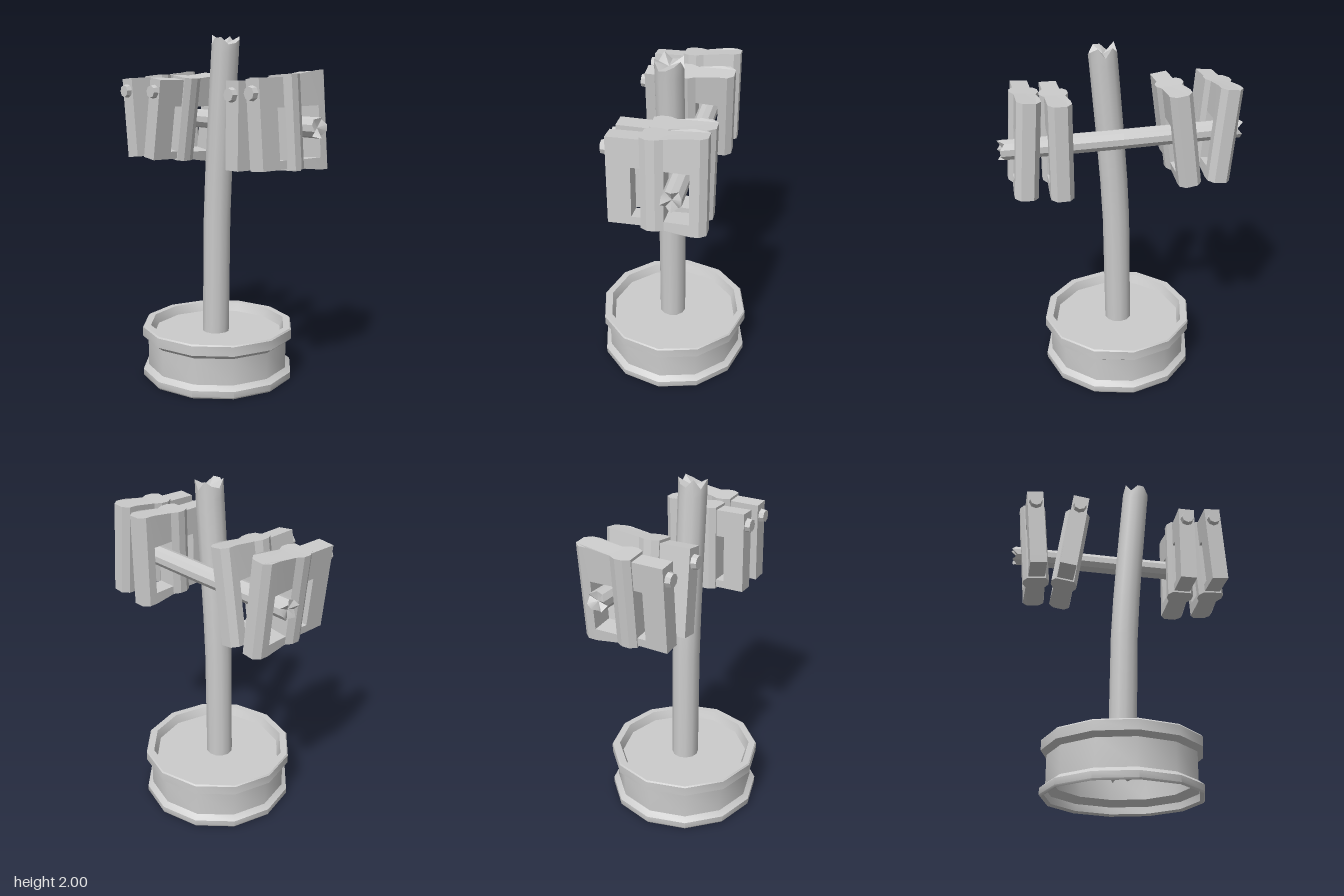
import * as THREE from 'three';
import { toCreasedNormals } from 'three/addons/utils/BufferGeometryUtils.js';

const material = new THREE.MeshStandardMaterial({ color: 0xcccccc });

function add(parent, name, geometry, crease = 0.6) {
  const mesh = new THREE.Mesh(toCreasedNormals(geometry, crease), material);
  mesh.name = name;
  parent.add(mesh);
  return mesh;
}

// Rod with ragged ends, built from rings along y. Path entries are [x, y, z].
function rodGeometry(path, radius, sides, ragged) {
  const pos = [], index = [], last = path.length - 1;
  path.forEach(([x, y, z], k) => {
    for (let i = 0; i < sides; i++) {
      const a = (i / sides) * Math.PI * 2;
      const inset = k === 0 || k === last ? ragged * (0.5 + 0.5 * Math.sin(i * 2.4 + k + 1)) : 0;
      pos.push(x + radius * Math.sin(a), y + (k === 0 ? inset : -inset), z + radius * Math.cos(a));
    }
  });
  for (let k = 0; k < last; k++) {
    for (let i = 0; i < sides; i++) {
      const a = k * sides + i, b = k * sides + ((i + 1) % sides);
      index.push(a, b, b + sides, a, b + sides, a + sides);
    }
  }
  // Sunken fan at each end
  for (const k of [0, last]) {
    const [x, y, z] = path[k], centre = pos.length / 3;
    pos.push(x, y + (k === 0 ? 1 : -1) * ragged * 0.9, z);
    for (let i = 0; i < sides; i++) {
      const a = k * sides + i, b = k * sides + ((i + 1) % sides);
      if (k === 0) index.push(centre, b, a);
      else index.push(centre, a, b);
    }
  }
  const g = new THREE.BufferGeometry();
  g.setAttribute('position', new THREE.Float32BufferAttribute(pos, 3));
  g.setIndex(index);
  return g;
}

// Vertical prism from half a plan outline [x, half thickness], mirrored in z
function prism(half, y0, y1) {
  const outline = [...half, ...half.slice().reverse().map(([x, z]) => [x, -z])];
  const shape = new THREE.Shape(outline.map(([x, z]) => new THREE.Vector2(x, z)));
  const g = new THREE.ExtrudeGeometry(shape, { depth: y1 - y0, bevelEnabled: false });
  g.rotateX(-Math.PI / 2).translate(0, y0, 0);
  // The free end flares slightly in height
  const p = g.attributes.position;
  for (let i = 0; i < p.count; i++) {
    if (p.getX(i) > 0.15 && Math.abs(p.getY(i)) > 0.24) p.setY(i, p.getY(i) * 1.07);
  }
  return g;
}

function createClamp() {
  const clamp = new THREE.Group();
  const bulge = [[-0.05, 0.055], [-0.015, 0.077], [0.03, 0.077], [0.07, 0.057]];
  const post = [[0.2, 0.063], [0.25, 0.063], [0.285, 0.034]];
  const whole = [...bulge, ...post];
  // Jaw frame around the bar window
  add(clamp, 'jawTop', prism(whole, 0.08, 0.25), 0.3);
  add(clamp, 'jawBottom', prism(whole, -0.25, -0.2), 0.3);
  add(clamp, 'jawInnerPost', prism(bulge, -0.2, 0.08), 0.3);
  add(clamp, 'jawOuterPost', prism(post, -0.2, 0.08), 0.3);
  // Slotted side plate
  const plate = (x0, x1, y0, y1) => prism([[x0, 0.048], [x1, 0.048]], y0, y1);
  add(clamp, 'plateTop', plate(-0.225, -0.05, 0.08, 0.235), 0.3);
  add(clamp, 'plateBottom', plate(-0.225, -0.05, -0.24, -0.195), 0.3);
  add(clamp, 'plateSide', plate(-0.225, -0.1, -0.195, 0.08), 0.3);
  // Bolt head
  const bolt = add(clamp, 'bolt', new THREE.CylinderGeometry(0.036, 0.042, 0.04, 8), 0.3);
  bolt.rotation.z = Math.PI / 2;
  bolt.position.set(-0.235, 0.16, 0);
  return clamp;
}

export function createModel() {
  const model = new THREE.Group();
  model.name = 'clampStand';

  // Rim-shaped base, hollow below, with a recessed plate on top
  const profile = [
    [0, 0.24], [0.385, 0.24], [0.385, 0.085], [0.425, 0.05], [0.425, 0.01], [0.445, 0],
    [0.452, 0.01], [0.452, 0.045], [0.42, 0.07], [0.42, 0.225], [0.452, 0.25], [0.452, 0.305],
    [0.445, 0.313], [0.405, 0.313], [0.385, 0.26], [0, 0.26],
  ].map(([r, y]) => new THREE.Vector2(r, y));
  add(model, 'base', new THREE.LatheGeometry(profile, 12));

  // Bent upright
  add(model, 'pole', rodGeometry([
    [-0.01, 0.1, -0.008], [-0.01, 0.31, -0.005], [-0.01, 0.95, 0.005], [-0.01, 1.2, 0.018],
    [-0.01, 1.5, 0.04], [-0.01, 1.9, 0.073], [-0.01, 2, 0.078],
  ], 0.08, 12, 0.06));

  // Crossbar, running front to back
  const bar = add(model, 'crossbar', rodGeometry([
    [0, -0.68, 0], [0, -0.6, 0], [0, 0, 0.01], [0, 0.6, 0.015], [0, 0.68, 0.015],
  ], 0.056, 10, 0.04));
  bar.rotation.x = Math.PI / 2;
  bar.position.set(0.13, 1.517, 0);

  // Four clamps, each leaning a little differently: x, y, z, lean, roll
  const clamps = [
    [0.005, 1.53, 0.53, -0.07, 0.015],
    [0.01, 1.512, 0.355, 0, -0.01],
    [-0.005, 1.518, -0.325, 0.14, -0.015],
    [-0.005, 1.522, -0.548, -0.09, 0.01],
  ];
  clamps.forEach(([x, y, z, lean, roll], i) => {
    const clamp = createClamp();
    clamp.name = 'clamp' + (i + 1);
    clamp.position.set(x, y, z);
    clamp.rotation.set(lean, 0, roll);
    model.add(clamp);
  });
  return model;
}
